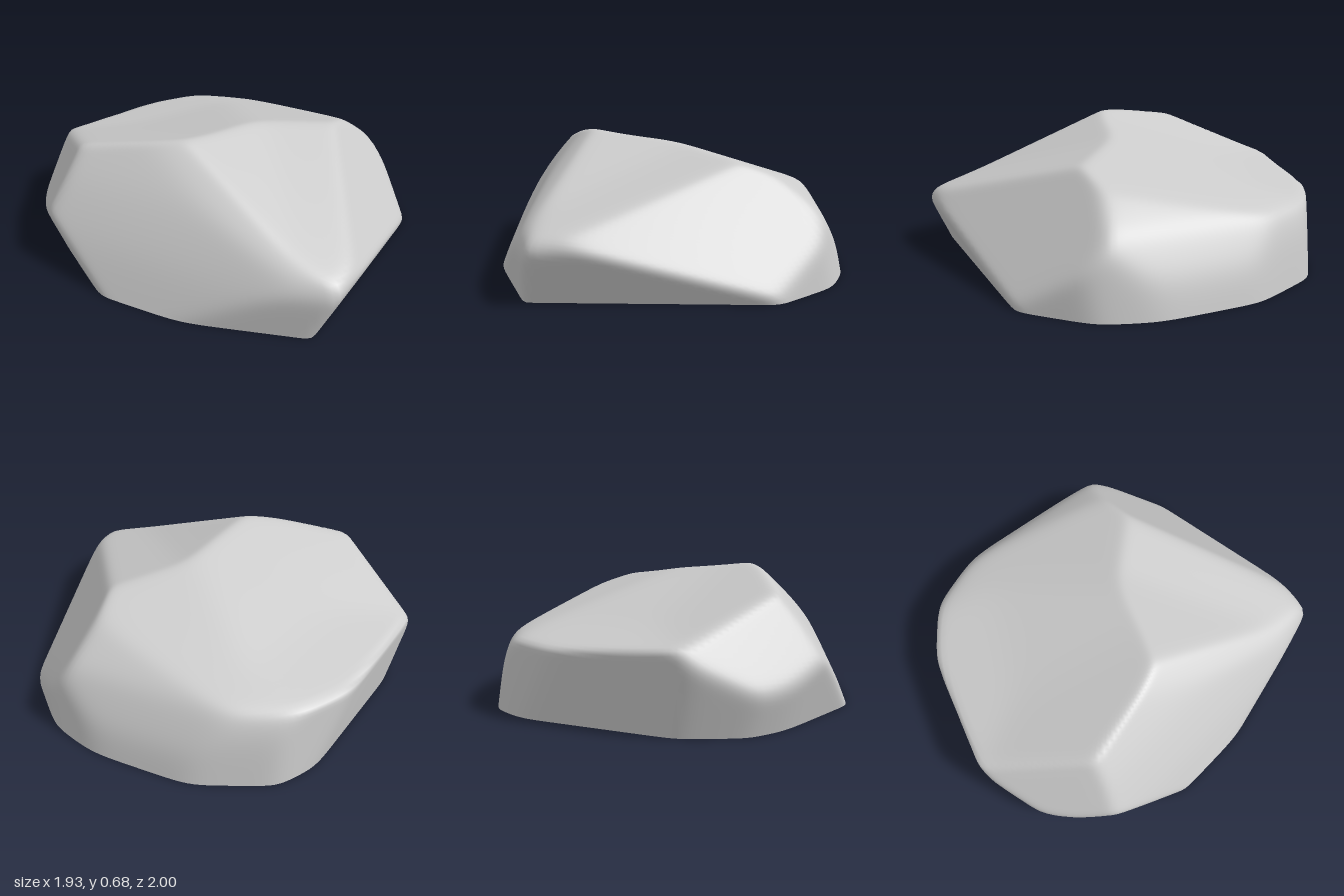
import * as THREE from 'three';
import { mergeVertices } from 'three/addons/utils/BufferGeometryUtils.js';

// Roof facet: y <= a + b x + c z.  Wall facet: p x + q z + lean y <= d.
const roof = (a, b, c) => ({ n: new THREE.Vector3(-b, 1, -c), d: a });
const wall = (p, q, d, lean = 0) => ({ n: new THREE.Vector3(p, lean, q), d });

// Each entry is one facet, or several that join into a hollow face
const facets = [
  [roof(0.615, 0.016, 0.36), roof(0.565, 0.06, 0.21), roof(0.63, 0.1, 0.31)], // hollow plateau
  [roof(0.655, -0.13, 0.305)],                            // plateau on the other side
  [roof(0.675, -0.3, -0.33), roof(0.64, -0.12, -0.31)],   // hollow slope down to the nose
  [roof(0.905, 0.285, -0.69)],                            // upper front face
  [roof(1.9, 0.76, -1.84)],
  [roof(1.09, 0.67, -0.87)],                              // front corner, three bands
  [roof(1.37, 0.976, -1.264)],
  [wall(-0.61, 0.79, 0.805, 0.4)],
  [roof(1.83, 1.63, 0.197)],                              // side chamfer
  [wall(-0.38, 0.92, 0.808, -0.08)],                      // lower front face
  [wall(-0.95, 0.305, 0.84, -0.33)],                      // undercut at the front corner
  [wall(-1, 0, 0.915, -0.35)],                            // undercut side
  [wall(0.707, 0.32, 0.74, 0.603)],                       // sloping side face
  [wall(0.72, 0.69, 0.785, -0.45)],                       // undercut below the sloping side
  [wall(0.65, 0.76, 1.07, 0.5)],                          // blunt nose
  [roof(0.96, -0.59, 0.25)],                              // rounded shoulder
  [roof(1.7, -1.5, 0.1)],
  [roof(1.0, -0.576, 0.552)],
  [roof(1.8, -1.3, 1.24)],
  [roof(1.075, -0.32, 0.736)],
  [roof(2.16, -0.8, 1.84)],
  [wall(1, 0, 0.96, 0.05)],                               // ring of back walls
  [wall(0.9, -0.43, 0.97, 0.15)],
  [wall(0.72, -0.69, 0.945, 0.2)],
  [wall(0.4, -0.92, 0.985, 0.15)],
  [wall(-0.16, -0.99, 0.988, 0.08)],
  [wall(-0.54, -0.84, 0.875, -0.16)],
  [wall(-0.86, -0.51, 0.935, -0.25)],
];

// Distance from the centre to the softly blended facets along a direction
const SHARPNESS = 65;
const HOLLOW = 100;
function reach(dir) {
  let sum = 0;
  for (const face of facets) {
    let inv = 0;
    for (const { n, d } of face) inv += Math.pow(Math.max(n.dot(dir) / d, 0.001), -HOLLOW);
    sum += Math.pow(inv, -SHARPNESS / HOLLOW);
  }
  return Math.pow(sum, -1 / SHARPNESS);
}

export function createModel() {
  const group = new THREE.Group();
  group.name = 'rock';

  // Dome pushed out to the facets, open underneath
  let geometry = new THREE.SphereGeometry(1, 200, 80, 0, Math.PI * 2, 0, Math.PI / 2);
  geometry.deleteAttribute('uv');
  geometry.deleteAttribute('normal');
  geometry = mergeVertices(geometry, 1e-5);
  const pos = geometry.attributes.position;
  const v = new THREE.Vector3();
  for (let i = 0; i < pos.count; i++) {
    v.fromBufferAttribute(pos, i).normalize();
    v.multiplyScalar(reach(v));
    pos.setXYZ(i, v.x, v.y, v.z);
  }
  geometry.computeVertexNormals();

  const shell = new THREE.Mesh(
    geometry,
    new THREE.MeshStandardMaterial({ color: 0xcccccc, side: THREE.DoubleSide })
  );
  shell.name = 'rockShell';
  group.add(shell);
  return group;
}
